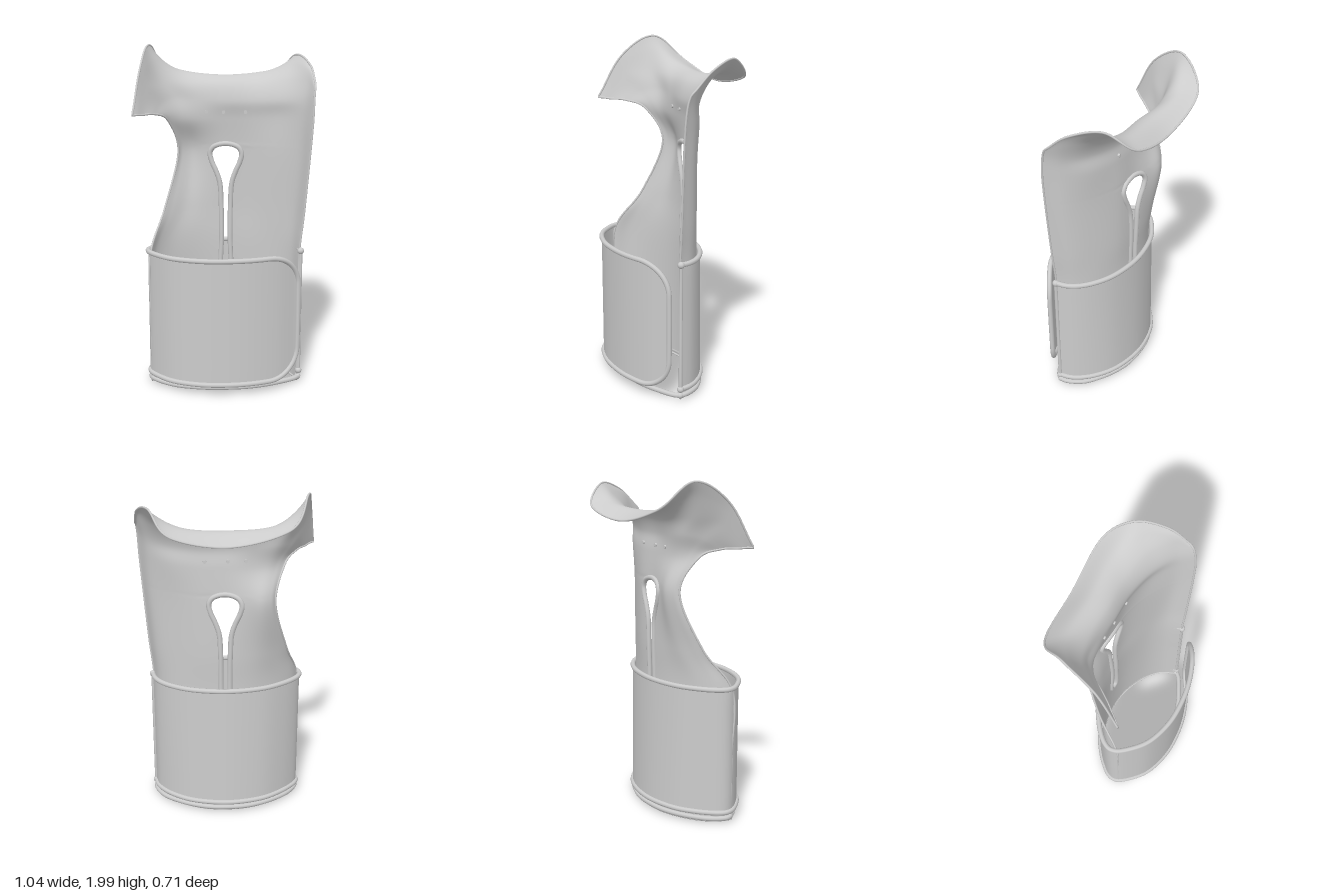
import * as THREE from 'three';
import { mergeGeometries, mergeVertices } from 'three/addons/utils/BufferGeometryUtils.js';

const V = (x, y, z) => new THREE.Vector3(x, y, z);
const curve = (pts, closed = false) => new THREE.CatmullRomCurve3(pts, closed, 'catmullrom', 0.5);

// Cross-sections of the splint from its right edge to its left edge, as [x, z]
const forearm = [[-.435, .12], [-.395, .03], [-.3, -.05], [-.15, -.11], [0, -.127], [.15, -.11], [.3, -.05], [.395, .03], [.437, .13]];
const wrist = [[-.35, -.03], [-.3, -.07], [-.22, -.115], [-.12, -.13], [0, -.132], [.15, -.115], [.3, -.05], [.41, .03], [.46, .135]];
const thumb = [[-.268, -.135], [-.24, -.16], [-.18, -.175], [-.1, -.15], [0, -.127], [.15, -.11], [.3, -.05], [.43, .04], [.485, .14]];
// Cross-sections of the rolled palm lip, as [x, y, z]
const lip = [
  [[-.325, 1.57, -.05], [-.28, 1.57, -.085], [-.22, 1.57, -.11], [-.12, 1.57, -.115], [0, 1.57, -.11], [.16, 1.57, -.1], [.32, 1.58, -.05], [.44, 1.59, .04], [.5, 1.58, .14]],
  [[-.4, 1.62, .05], [-.36, 1.68, -.04], [-.28, 1.7, -.115], [-.15, 1.69, -.12], [0, 1.68, -.1], [.17, 1.68, -.09], [.33, 1.69, -.04], [.45, 1.7, .04], [.505, 1.7, .13]],
  [[-.46, 1.625, .12], [-.43, 1.77, .02], [-.35, 1.8, -.11], [-.19, 1.78, -.15], [0, 1.78, -.14], [.19, 1.78, -.135], [.36, 1.8, -.08], [.47, 1.8, .02], [.51, 1.76, .115]],
  [[-.49, 1.63, .155], [-.46, 1.85, .03], [-.4, 1.92, -.13], [-.25, 1.845, -.225], [0, 1.818, -.23], [.24, 1.835, -.225], [.39, 1.88, -.15], [.485, 1.86, 0], [.513, 1.78, .1]],
  [[-.515, 1.63, .18], [-.475, 1.88, .04], [-.43, 1.995, -.16], [-.33, 1.85, -.32], [0, 1.765, -.345], [.32, 1.82, -.335], [.43, 1.935, -.2], [.497, 1.89, -.03], [.515, 1.79, .09]],
];
// deep pushes the back of a section further out
const flat = (section, y, deep = 1) => section.map(([x, z]) => V(x, y, z < 0 ? z * deep : z));
const rows = [
  flat(forearm, .016, 1.18), flat(forearm, .42, 1.08), flat(forearm, .8), flat(wrist, 1.05), flat(thumb, 1.37),
  ...lip.map(r => r.map(p => V(...p))),
].map(r => curve(r));

// Point on the splint: u runs across, v runs up
const splintPoint = (u, v) => curve(rows.map(r => r.getPoint(u))).getPoint(v);

function bisect(f, target) {
  let a = 0, b = 1;
  for (let i = 0; i < 18; i++) {
    const m = (a + b) / 2;
    if (f(m) < target) a = m; else b = m;
  }
  return (a + b) / 2;
}
const uAt = (x, v) => bisect(u => splintPoint(u, v).x, x);
const vAt = y => bisect(v => splintPoint(.5, v).y, y);

// Keyhole slot: [height, half width]
const SLOT_X = .015;
const slot = [[.5, 0], [.51, .025], [.85, .026], [1.05, .028], [1.18, .036], [1.25, .058], [1.31, .084], [1.36, .094], [1.395, .078], [1.413, .045], [1.42, 0]];
function slotHalfWidth(y) {
  for (let i = 1; i < slot.length; i++) {
    const [y0, w0] = slot[i - 1], [y1, w1] = slot[i];
    if (y >= y0 && y < y1) return w0 + (w1 - w0) * (y - y0) / (y1 - y0);
  }
  return 0;
}

// Grid surface from a function of (a, b), both 0..1
function sheet(fn, na, nb) {
  const pos = [], index = [];
  for (let j = 0; j <= nb; j++) for (let i = 0; i <= na; i++) pos.push(...fn(i / na, j / nb).toArray());
  for (let j = 0; j < nb; j++) for (let i = 0; i < na; i++) {
    const p = j * (na + 1) + i, q = p + na + 1;
    index.push(p, p + 1, q, q, p + 1, q + 1);
  }
  const g = new THREE.BufferGeometry();
  g.setAttribute('position', new THREE.Float32BufferAttribute(pos, 3));
  g.setIndex(index);
  return g;
}

export function createModel() {
  const group = new THREE.Group();
  const solid = new THREE.MeshStandardMaterial({ color: 0xcccccc });
  const thin = new THREE.MeshStandardMaterial({ color: 0xcccccc, side: THREE.DoubleSide });
  const add = (name, geometry, material = solid) => {
    const m = new THREE.Mesh(geometry, material);
    m.name = name;
    group.add(m);
    return m;
  };
  const tube = (name, pts, r, closed, n = 200) =>
    add(name, new THREE.TubeGeometry(new THREE.CatmullRomCurve3(pts, closed), n, r, 8, closed));
  const ball = (name, p, r) => add(name, new THREE.SphereGeometry(r, 12, 8)).position.copy(p);

  // Splint shell, two halves that part around the slot and weld elsewhere
  const NV = 120;
  const gaps = Array.from({ length: NV + 1 }, (_, j) => {
    const v = j / NV, w = slotHalfWidth(splintPoint(.5, v).y);
    return [uAt(SLOT_X - w, v), uAt(SLOT_X + w, v)];
  });
  const gap = (v, side) => gaps[Math.round(v * NV)][side];
  const halves = [
    sheet((a, v) => splintPoint(a * gap(v, 0), v), 28, NV),
    sheet((a, v) => splintPoint(gap(v, 1) + a * (1 - gap(v, 1)), v), 28, NV),
  ];
  const shell = mergeVertices(mergeGeometries(halves));
  shell.computeVertexNormals();
  add('splintShell', shell, thin);

  // Rounded rim of the shell
  const rim = [], N = 40;
  for (let i = 0; i < N; i++) rim.push(splintPoint(i / N, 0));
  for (let i = 0; i < N; i++) rim.push(splintPoint(1, i / N));
  for (let i = 0; i < N; i++) rim.push(splintPoint(1 - i / N, 1));
  for (let i = 0; i < N; i++) rim.push(splintPoint(0, 1 - i / N));
  tube('splintRim', rim, .006, true, 400);

  // Piping around the slot
  const slotSide = (s, list) => list.map(([y, w]) => {
    const v = vAt(y);
    return splintPoint(uAt(SLOT_X + s * w, v), v);
  });
  tube('slotPiping', [...slotSide(1, slot), ...slotSide(-1, slot.slice(1, -1).reverse())], .015, true);

  // Three small rivets under the lip
  for (const x of [-.1, 0, .13]) {
    const v = vAt(1.61);
    const rivet = add('rivet', new THREE.CylinderGeometry(.01, .01, .02, 12));
    rivet.rotation.x = Math.PI / 2;
    rivet.position.copy(splintPoint(uAt(x, v), v));
  }

  // Wrap strap: from the free flap, over the front, round the back to its fixed edge
  const wrap = curve([
    [.427, .195], [.3, .27], [.15, .32], [0, .337], [-.15, .325], [-.3, .27], [-.4, .18], [-.447, .1], [-.425, .03],
    [-.34, -.045], [-.2, -.115], [0, -.145], [.2, -.115], [.34, -.045], [.42, .04], [.445, .13],
  ].map(([x, z]) => V(x, 0, z)));
  const length = wrap.getLength(), MID = .45, HALF = .375, RX = .2, RY = .18;
  const strapPoint = (s, b) => {
    const d = Math.min(s * length, RX), k = (RX - d) / RX;
    const half = HALF - RY * (1 - Math.sqrt(Math.max(0, 1 - k * k)));
    const p = wrap.getPointAt(s);
    p.y = MID + half * (2 * b - 1);
    if (p.z < 0) p.z *= 1.17 - .14 * b;
    return p;
  };
  const strap = sheet((a, b) => strapPoint(a ** 1.8, b), 110, 8);
  strap.computeVertexNormals();
  add('wrapStrap', strap, thin);

  // Piping along the strap outline, with knobs at its fixed corners
  const outline = [], M = 60;
  for (let i = M; i >= 0; i--) outline.push(strapPoint((i / M) ** 1.8, 1));
  for (let i = 0; i <= M; i++) outline.push(strapPoint((i / M) ** 1.8, 0));
  tube('strapPiping', outline, .015, false, 360);
  tube('strapEdge', [strapPoint(1, 0), strapPoint(1, .5), strapPoint(1, 1)], .011, false, 8);
  for (const b of [0, 1]) ball('edgeKnob', strapPoint(1, b), .02);

  // Lower cord crossing the front and following the back of the splint
  const cord = [
    [.44, .13], [.32, .21], [.16, .265], [0, .281], [-.16, .27], [-.32, .218], [-.44, .1],
    [-.4, .01], [-.28, -.085], [-.13, -.147], [0, -.16], [.13, -.147], [.28, -.085], [.4, .01],
  ].map(([x, z]) => V(x, .036, z));
  tube('lowerCord', cord, .015, true);
  ball('cordKnob', cord[0], .019);

  return group;
}
